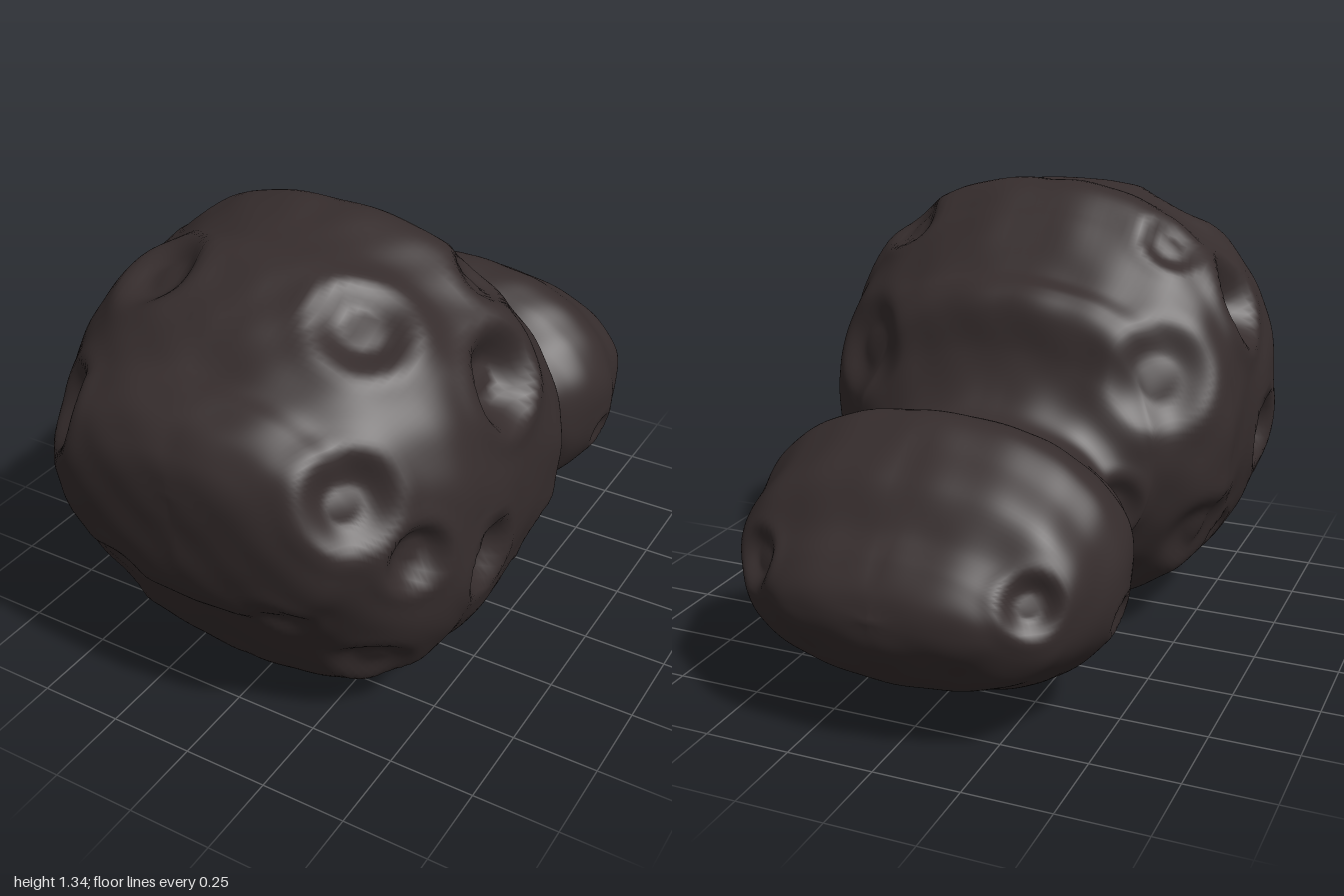
import * as THREE from 'three';
import { mergeVertices } from 'three/addons/utils/BufferGeometryUtils.js';

// Body stations from nose to tail: z, top y, bottom y, half width
const STATIONS = [
  [1, 0.86, 0.86, 0], [0.994, 0.93, 0.76, 0.16], [0.975, 0.98, 0.62, 0.3], [0.935, 1.04, 0.5, 0.41],
  [0.87, 1.085, 0.43, 0.475], [0.8, 1.115, 0.3, 0.525], [0.7, 1.205, 0.135, 0.58], [0.6, 1.27, 0.07, 0.632],
  [0.5, 1.315, 0.055, 0.64], [0.37, 1.32, 0.005, 0.64], [0.2, 1.348, 0.035, 0.64], [0.1, 1.275, 0.05, 0.64],
  [0.03, 1.2, 0.085, 0.635], [-0.04, 1.12, 0.175, 0.59], [-0.1, 1.095, 0.22, 0.515], [-0.14, 1.04, 0.245, 0.47],
  [-0.16, 0.91, 0.265, 0.45], [-0.21, 0.8, 0.293, 0.39], [-0.27, 0.745, 0.3, 0.37], [-0.35, 0.732, 0.265, 0.45],
  [-0.42, 0.765, 0.145, 0.495], [-0.5, 0.825, 0.1, 0.525], [-0.6, 0.848, 0.09, 0.537], [-0.7, 0.795, 0.12, 0.51],
  [-0.8, 0.73, 0.17, 0.485], [-0.87, 0.62, 0.2, 0.43], [-0.93, 0.565, 0.265, 0.335], [-0.98, 0.5, 0.35, 0.23],
  [-1, 0.43, 0.43, 0],
];

// Craters on each flank: z, y, radius, depth
const CRATERS = [
  [0.3, 1.01, 0.14, 0.09], [0.46, 0.56, 0.115, 0.06], [0.86, 0.9, 0.135, 0.05], [0.73, 0.7, 0.1, 0.045],
  [0.57, 1.23, 0.14, 0.045], [0.15, 1.2, 0.1, 0.03], [0.22, 0.3, 0.075, 0.025], [0.72, 0.3, 0.12, 0.025],
  [0.55, 0.17, 0.11, 0.02], [0.03, 0.36, 0.14, 0.03], [-0.1, 0.87, 0.16, 0.035], [0.9, 0.5, 0.1, 0.015],
  [-0.23, 0.5, 0.1, 0.03], [-0.88, 0.49, 0.085, 0.03], [-0.58, 0.36, 0.06, 0.018],
];

const POWER = 2.3; // squareness of the cross-sections
const SUB = 8;
const SIDES = 160;

const spline = (points) => new THREE.CatmullRomCurve3(points, false, 'catmullrom', 0.5);
const heights = spline(STATIONS.map(([z, top, bottom]) => new THREE.Vector3(top, bottom, z)));
const widths = spline(STATIONS.map(([z, , , w]) => new THREE.Vector3(w, 0, z)));

function section(t) {
  const h = heights.getPoint(t);
  return { z: h.z, mid: (h.x + h.y) / 2, tall: (h.x - h.y) / 2, wide: widths.getPoint(t).x };
}

// Point on the flank of the body at a given z and y
function flankPoint(z, y) {
  let i = 0;
  while (i < STATIONS.length - 2 && STATIONS[i + 1][0] > z) i++;
  const f = (STATIONS[i][0] - z) / (STATIONS[i][0] - STATIONS[i + 1][0]);
  const s = section((i + f) / (STATIONS.length - 1));
  const v = Math.min(1, Math.abs((y - s.mid) / s.tall));
  return new THREE.Vector3(s.wide * (1 - v ** POWER) ** (1 / POWER), y, z);
}

// Gentle mirrored unevenness
function lumps(x, y, z) {
  return 0.003 * Math.sin(9 * x + 4 * y + 1) * Math.sin(11 * y - 5 * z) +
    0.003 * Math.sin(17 * z + 6 * x) * Math.sin(15 * y + 7 * x + 2) +
    0.002 * Math.sin(31 * x + 9 * z) * Math.sin(29 * y - 13 * z + 1);
}

// Loft of rounded sections along z
function loft() {
  const rings = (STATIONS.length - 1) * SUB;
  const positions = [];
  const index = [];
  const rounded = (v) => Math.sign(v) * Math.abs(v) ** (2 / POWER);
  for (let i = 0; i <= rings; i++) {
    const s = section(i / rings);
    for (let j = 0; j < SIDES; j++) {
      const a = (j / SIDES) * Math.PI * 2;
      positions.push(s.wide * rounded(Math.cos(a)), s.mid + s.tall * rounded(Math.sin(a)), s.z);
      if (i === rings) continue;
      const p = i * SIDES + j;
      const q = i * SIDES + ((j + 1) % SIDES);
      index.push(p, p + SIDES, q, q, p + SIDES, q + SIDES);
    }
  }
  const geometry = new THREE.BufferGeometry();
  geometry.setAttribute('position', new THREE.Float32BufferAttribute(positions, 3));
  geometry.setIndex(index);
  return mergeVertices(geometry, 1e-5);
}

// Press craters with raised rims into the surface
function roughen(geometry) {
  geometry.computeVertexNormals();
  const pos = geometry.attributes.position;
  const nor = geometry.attributes.normal;
  const pits = CRATERS.map(([z, y, radius, depth]) => ({ centre: flankPoint(z, y), radius, depth }));
  const p = new THREE.Vector3();
  const m = new THREE.Vector3();
  const n = new THREE.Vector3();
  for (let i = 0; i < pos.count; i++) {
    p.fromBufferAttribute(pos, i);
    n.fromBufferAttribute(nor, i);
    m.set(Math.abs(p.x), p.y, p.z);
    let push = lumps(m.x, m.y, m.z);
    for (const { centre, radius, depth } of pits) {
      const f = m.distanceTo(centre) / radius;
      if (f > 2) continue;
      push -= depth * (1 - THREE.MathUtils.smoothstep(f, 0.4, 1.05));
      push += 0.1 * depth * Math.exp(-(((f - 1.15) / 0.25) ** 2));
    }
    p.addScaledVector(n, push);
    pos.setXYZ(i, p.x, p.y, p.z);
  }
}

export function createModel() {
  const group = new THREE.Group();
  group.name = 'twoLobedComet';
  const darkRock = new THREE.MeshStandardMaterial({ color: 0x362d2d });
  darkRock.name = 'darkRock';

  // Large lobe, neck and small lobe as one continuous body
  const geometry = loft();
  roughen(geometry);

  // Rest on the ground, centred
  geometry.computeBoundingBox();
  const { min, max } = geometry.boundingBox;
  geometry.translate(-(min.x + max.x) / 2, -min.y, -(min.z + max.z) / 2);
  geometry.computeVertexNormals();

  const nucleus = new THREE.Mesh(geometry, darkRock);
  nucleus.name = 'cometNucleus';
  group.add(nucleus);
  return group;
}
